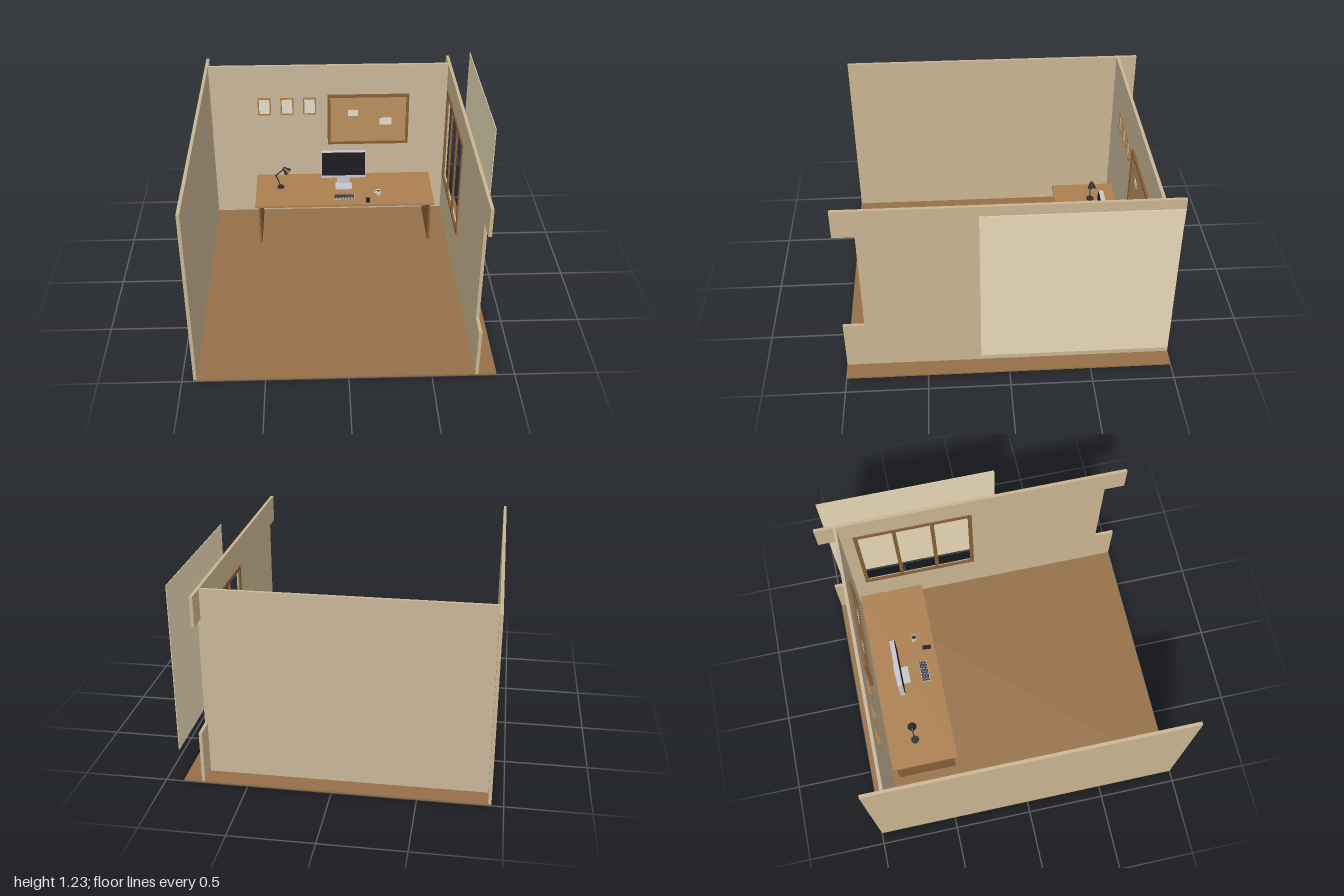
import * as THREE from 'three';

const mat = (color, extra = {}) => new THREE.MeshStandardMaterial({ color, ...extra });
const M = {
  floor: mat(0x966f48), wall: mat(0xc8b490), backWall: mat(0xc8b698), backdrop: mat(0xe6d7b6),
  desk: mat(0xac7f50), darkWood: mat(0x855f38), frame: mat(0xa87a42), cork: mat(0xb88f5c),
  paper: mat(0xe2dccb), silver: mat(0xc6c6cc), black: mat(0x1d1b20), key: mat(0x3a3a40),
  metal: mat(0x2b2b2e), mug: mat(0xe8e4dc, { side: THREE.DoubleSide }), coffee: mat(0x4a2f1c),
  shade: mat(0x2b2b2e, { side: THREE.DoubleSide }),
};

function add(parent, name, geometry, material) {
  const mesh = new THREE.Mesh(geometry, material);
  mesh.name = name;
  parent.add(mesh);
  return mesh;
}

// Box given by its extents on each axis
function box(parent, name, material, [x0, x1], [y0, y1], [z0, z1]) {
  const mesh = add(parent, name, new THREE.BoxGeometry(x1 - x0, y1 - y0, z1 - z0), material);
  mesh.position.set((x0 + x1) / 2, (y0 + y1) / 2, (z0 + z1) / 2);
  return mesh;
}

function group(parent, name) {
  const g = new THREE.Group();
  g.name = name;
  parent.add(g);
  return g;
}

// Rod between two points
function rod(parent, name, a, b, r, material) {
  const dir = b.clone().sub(a);
  const mesh = add(parent, name, new THREE.CylinderGeometry(r, r, dir.length(), 12), material);
  mesh.position.copy(a).add(b).multiplyScalar(0.5);
  mesh.quaternion.setFromUnitVectors(new THREE.Vector3(0, 1, 0), dir.normalize());
}

// Rectangular border with an infill panel, facing +z
function framed(parent, name, x, y, z, border, depth, frameMat, fillMat) {
  const g = group(parent, name);
  const [x0, x1] = x, [y0, y1] = y, zr = [z, z + depth];
  box(g, 'frameBottom', frameMat, x, [y0, y0 + border], zr);
  box(g, 'frameTop', frameMat, x, [y1 - border, y1], zr);
  box(g, 'frameSideRight', frameMat, [x0, x0 + border], [y0 + border, y1 - border], zr);
  box(g, 'frameSideLeft', frameMat, [x1 - border, x1], [y0 + border, y1 - border], zr);
  box(g, 'infill', fillMat, [x0 + border, x1 - border], [y0 + border, y1 - border], [z, z + depth * 0.6]);
}

function buildRoom(root) {
  const room = group(root, 'room');
  box(room, 'floor', M.floor, [-0.93, 0.89], [0, 0.01], [-1, 1]);
  box(room, 'rightWall', M.wall, [-0.93, -0.91], [0.01, 1.19], [-1, 1]);
  box(room, 'backWall', M.backWall, [-0.91, 0.76], [0.01, 1.19], [-0.88, -0.86]);

  // Window wall: notched at both ends, with the window opening
  const lo = 0.335, hi = 1.01, n = 0.87;
  const outline = [[-1, 0.01], [1, 0.01], [1, lo], [n, lo], [n, hi], [1, hi],
    [1, 1.19], [-1, 1.19], [-1, hi], [-n, hi], [-n, lo], [-1, lo]];
  const shape = new THREE.Shape(outline.map(([x, y]) => new THREE.Vector2(x, y)));
  const hole = [[0.015, lo], [0.015, hi], [0.775, hi], [0.775, lo]];
  shape.holes.push(new THREE.Path(hole.map(([x, y]) => new THREE.Vector2(x, y))));
  const geo = new THREE.ExtrudeGeometry(shape, { depth: 0.02, bevelEnabled: false });
  add(room, 'windowWall', geo.rotateY(Math.PI / 2).translate(0.76, 0, 0), M.wall);

  // Window frame with mullions, and the sky panel beyond it
  const win = group(room, 'window');
  const xr = [0.752, 0.765], b = 0.025;
  for (const y of [0.33, 1.02 - b]) box(win, 'windowRail', M.darkWood, xr, [y, y + b], [-0.78, -0.01]);
  for (let i = 0; i < 4; i++) {
    const z = -0.78 + i * (0.77 - b) / 3;
    box(win, 'windowUpright', M.darkWood, xr, [0.33 + b, 1.02 - b], [z, z + b]);
  }
  box(room, 'outdoorPanel', M.backdrop, [0.92, 0.924], [0.185, 1.23], [-0.955, 0.175]);
}

function buildWallDecor(root) {
  const decor = group(root, 'wallDecor');
  for (const x of [-0.533, -0.372, -0.212])
    framed(decor, 'pictureFrame', [x - 0.046, x + 0.046], [0.815, 0.945], -0.86, 0.009, 0.012, M.frame, M.paper);
  framed(decor, 'corkBoard', [-0.085, 0.495], [0.572, 0.965], -0.86, 0.02, 0.015, M.darkWood, M.cork);
  // Pinned notes
  for (const [x, y, w, h] of [[0.097, 0.822, 0.07, 0.045], [0.33, 0.752, 0.085, 0.055]]) {
    box(decor, 'note', M.paper, [x - w / 2, x + w / 2], [y - h / 2, y + h / 2], [-0.852, -0.849]);
    const pin = add(decor, 'pin', new THREE.SphereGeometry(0.005, 10, 8), M.paper);
    pin.position.set(x, y + h / 2, -0.849);
  }
}

function buildDesk(root) {
  const desk = group(root, 'desk');
  box(desk, 'deskTop', M.desk, [-0.605, 0.655], [0.315, 0.331], [-0.835, -0.405]);
  for (const x of [-0.582, 0.618]) box(desk, 'sidePanel', M.darkWood, [x, x + 0.014], [0.01, 0.315], [-0.815, -0.425]);
  box(desk, 'modestyPanel', M.darkWood, [-0.568, 0.618], [0.14, 0.315], [-0.805, -0.79]);
}

function buildComputer(root) {
  const pc = group(root, 'computer');
  box(pc, 'monitorBody', M.silver, [-0.135, 0.18], [0.4, 0.61], [-0.69, -0.66]);
  box(pc, 'screen', M.black, [-0.131, 0.176], [0.422, 0.607], [-0.66, -0.655]);
  const neck = box(pc, 'standNeck', M.silver, [-0.022, 0.068], [0.335, 0.45], [-0.701, -0.69]);
  neck.name = 'standNeck';
  box(pc, 'standFoot', M.silver, [-0.035, 0.082], [0.331, 0.337], [-0.702, -0.61]);

  const kb = group(pc, 'keyboard');
  box(kb, 'keyboardBase', M.silver, [-0.048, 0.095], [0.331, 0.335], [-0.532, -0.478]);
  for (let r = 0; r < 5; r++)
    for (let c = 0; c < 13; c++) {
      const x = -0.045 + c * 0.0107, z = -0.529 + r * 0.0099;
      box(kb, 'key', M.key, [x, x + 0.0092], [0.335, 0.338], [z, z + 0.0084]);
    }

  const phone = box(pc, 'phone', M.black, [0.176, 0.204], [0.331, 0.337], [-0.487, -0.43]);
  phone.rotation.y = -0.08;
}

function buildMug(root) {
  const mug = group(root, 'mug');
  mug.position.set(0.267, 0.331, -0.53);
  const profile = [[0, 0], [0.018, 0], [0.019, 0.038], [0.016, 0.038], [0.015, 0.004], [0, 0.004]];
  add(mug, 'mugBody', new THREE.LatheGeometry(profile.map(([x, y]) => new THREE.Vector2(x, y)), 24), M.mug);
  const drink = add(mug, 'drink', new THREE.CylinderGeometry(0.0155, 0.0155, 0.002, 24), M.coffee);
  drink.position.y = 0.028;
  const handle = add(mug, 'mugHandle', new THREE.TorusGeometry(0.011, 0.0025, 8, 20), M.mug);
  handle.position.set(-0.019, 0.019, -0.01);
  handle.rotation.y = -0.5;
}

function buildLamp(root) {
  const lamp = group(root, 'deskLamp');
  const V = (x, y) => new THREE.Vector3(x, y, -0.655);
  const base = add(lamp, 'lampBase', new THREE.CylinderGeometry(0.024, 0.026, 0.008, 28), M.metal);
  base.position.copy(V(-0.43, 0.335));
  const joints = [V(-0.428, 0.337), V(-0.462, 0.43), V(-0.402, 0.485)];
  for (let i = 0; i < 2; i++) rod(lamp, 'lampArm', joints[i], joints[i + 1], 0.004, M.metal);
  for (const p of joints) add(lamp, 'lampJoint', new THREE.SphereGeometry(0.0065, 12, 10), M.metal).position.copy(p);
  // Shade opens down and towards the model's left
  const shade = add(lamp, 'lampShade', new THREE.CylinderGeometry(0.013, 0.03, 0.036, 24, 1, true), M.shade);
  shade.position.copy(V(-0.388, 0.472));
  shade.rotation.z = 0.75;
  const cap = add(shade, 'shadeCap', new THREE.SphereGeometry(0.013, 20, 8, 0, Math.PI * 2, 0, Math.PI / 2), M.metal);
  cap.position.y = 0.018;
}

export function createModel() {
  const root = new THREE.Group();
  root.name = 'officeRoom';
  for (const build of [buildRoom, buildWallDecor, buildDesk, buildComputer, buildMug, buildLamp]) build(root);
  return root;
}
